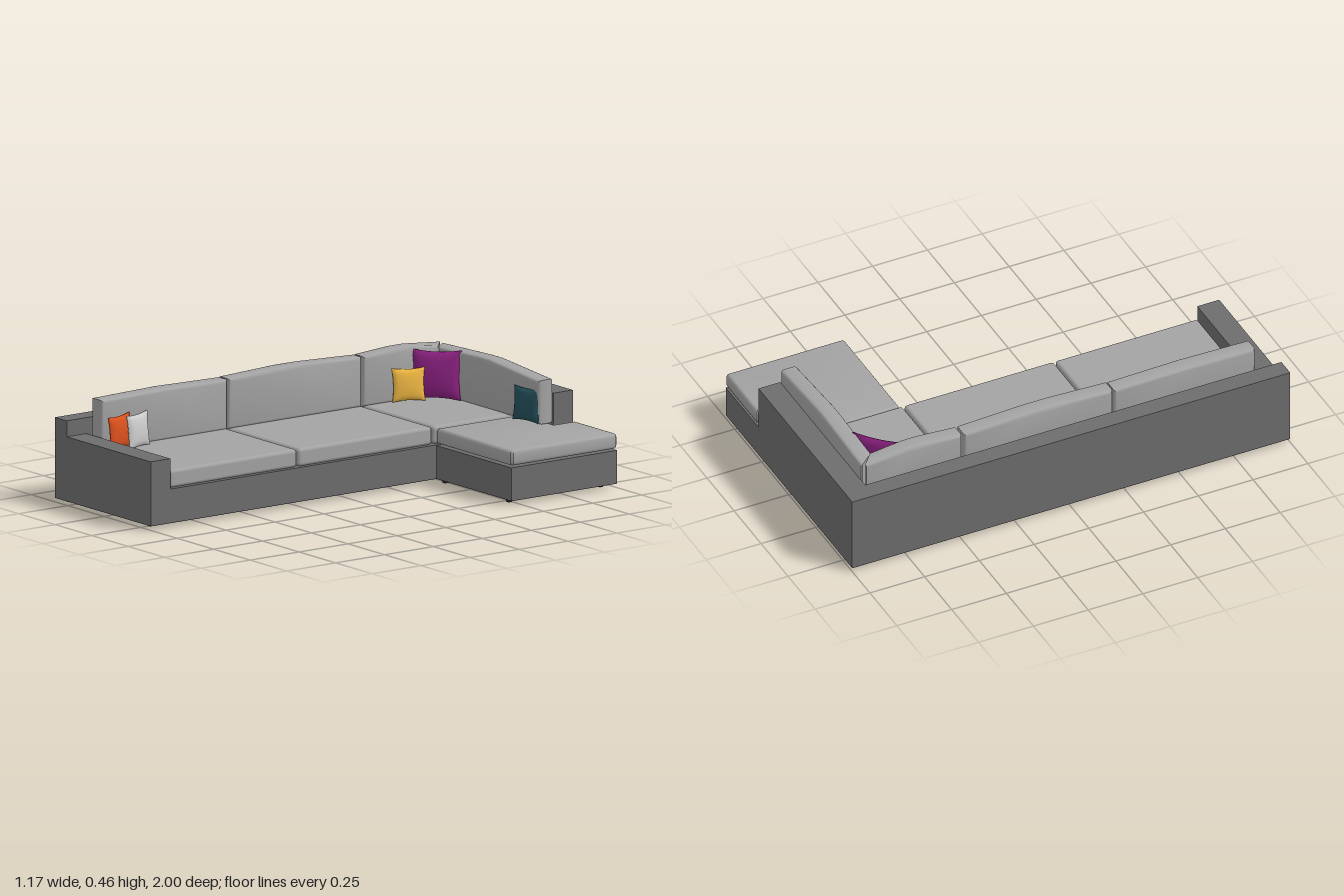
import * as THREE from 'three';
import { mergeVertices, toCreasedNormals } from 'three/addons/utils/BufferGeometryUtils.js';
import { RoundedBoxGeometry } from 'three/addons/geometries/RoundedBoxGeometry.js';

const mat = (color) => new THREE.MeshStandardMaterial({ color });

export function createModel() {
  const root = new THREE.Group();
  const fabric = mat(0xa3a3a3), frame = mat(0x6d6d6d), dark = mat(0x303030);

  const add = (name, geometry, material) => {
    const mesh = new THREE.Mesh(geometry, material);
    mesh.name = name;
    root.add(mesh);
    return mesh;
  };

  // Box given by its limits on each axis, rounded when r > 0
  const block = (name, material, [x0, x1], [y0, y1], [z0, z1], r = 0) => {
    const size = [x1 - x0, y1 - y0, z1 - z0];
    const geo = r ? new RoundedBoxGeometry(...size, 3, r) : new THREE.BoxGeometry(...size);
    add(name, geo, material).position.set((x0 + x1) / 2, (y0 + y1) / 2, (z0 + z1) / 2);
  };

  // Extruded outline with softened edges, centred on its depth
  const softExtrude = (points, depth, bevel) => {
    const shape = new THREE.Shape(points.map(([x, y]) => new THREE.Vector2(x, y)));
    const geo = new THREE.ExtrudeGeometry(shape, {
      depth: depth - 2 * bevel, bevelThickness: bevel, bevelSize: bevel,
      bevelOffset: -bevel, bevelSegments: 3,
    });
    return geo.translate(0, 0, bevel - depth / 2);
  };

  // Frame: bases, two back walls and the arm
  block('mainBase', frame, [-0.587, 0.07], [0.019, 0.16], [-1, 1]);
  block('chaiseBase', frame, [0.07, 0.583], [0.019, 0.157], [-1, -0.46]);
  block('sideBackWall', frame, [-0.587, -0.505], [0.16, 0.355], [-1, 1]);
  block('rearBackWall', frame, [-0.505, 0.28], [0.157, 0.355], [-1, -0.9]);
  block('arm', frame, [-0.505, 0.07], [0.16, 0.288], [0.9, 1]);

  // Dark cloth under both bases
  block('mainUnderside', dark, [-0.587, 0.07], [0.017, 0.019], [-1, 1]);
  block('chaiseUnderside', dark, [0.07, 0.583], [0.017, 0.019], [-1, -0.46]);

  // Seat cushions
  for (const z of [[0.243, 0.895], [-0.447, 0.237], [-0.9, -0.453]]) {
    block('seatCushion', fabric, [-0.505, 0.06], [0.16, 0.236], z, 0.015);
  }

  // Chaise cushion, notched around the end of the rear wall
  const chaise = softExtrude([
    [0.068, 0.465], [0.073, 0.46], [0.577, 0.46], [0.585, 0.468], [0.585, 0.992], [0.577, 1],
    [0.295, 1], [0.295, 0.893], [0.068, 0.893],
  ], 0.066, 0.015);
  chaise.rotateX(-Math.PI / 2);
  add('chaiseCushion', toCreasedNormals(chaise, 0.6), fabric).position.y = 0.196;

  // Back cushions: crowned outline, mitred at the start where they meet in the corner
  const T = 0.075;
  const backCushion = (start, end, tops, mitre = 0) => {
    const geo = softExtrude([[start, 0.232], [end, 0.232], ...tops], T, 0.014);
    const p = geo.attributes.position;
    for (let i = 0; i < p.count; i++) {
      if (p.getX(i) < start + 0.03) p.setX(i, p.getX(i) + Math.abs(mitre) * (0.5 + Math.sign(mitre) * p.getZ(i) / T));
    }
    return geo;
  };
  const sideCushions = [
    [0.248, 0.892, [[0.892, 0.442], [0.57, 0.449], [0.248, 0.442]], 0],
    [-0.437, 0.242, [[0.242, 0.444], [-0.03, 0.455], [-0.14, 0.455], [-0.437, 0.443]], 0],
    [-0.893, -0.447, [[-0.447, 0.443], [-0.62, 0.455], [-0.69, 0.455], [-0.893, 0.437]], -0.065],
  ];
  for (const args of sideCushions) {
    const geo = backCushion(...args).rotateY(-Math.PI / 2);
    add('sideBackCushion', toCreasedNormals(geo, 0.6), fabric).position.x = -0.447;
  }
  const rear = backCushion(-0.475, 0.278, [[0.278, 0.416], [-0.06, 0.444], [-0.13, 0.444], [-0.475, 0.432]], 0.065);
  add('rearBackCushion', toCreasedNormals(rear, 0.6), fabric).position.z = -0.864;

  // Throw pillows: a square puffed in the middle with pinched sides
  const pillow = (name, color, size, [x, y, z], yaw, lean) => {
    let geo = new THREE.BoxGeometry(2, 2, 2, 14, 14, 1);
    const p = geo.attributes.position;
    for (let i = 0; i < p.count; i++) {
      const u = p.getX(i), v = p.getY(i);
      const puff = Math.sqrt(Math.max(0, (1 - u * u) * (1 - v * v)));
      p.setXYZ(i, u * (1 - 0.09 * (1 - v * v)) * size / 2,
        v * (1 - 0.09 * (1 - u * u)) * size / 2,
        Math.sign(p.getZ(i)) * (0.002 + puff * size * 0.11));
    }
    geo.deleteAttribute('normal');
    geo.deleteAttribute('uv');
    geo = mergeVertices(geo);
    geo.computeVertexNormals();
    const mesh = add(name, geo, mat(color));
    mesh.position.set(x, y, z);
    mesh.rotation.set(lean, yaw, 0, 'YXZ');
  };
  pillow('purplePillow', 0x8a2080, 0.208, [-0.333, 0.34, -0.76], 0.75, -0.1);
  pillow('yellowPillow', 0xeeb642, 0.14, [-0.374, 0.306, -0.648], 1.18, -0.12);
  pillow('tealPillow', 0x25505c, 0.143, [0.206, 0.306, -0.818], 0.19, -0.08);
  pillow('whitePillow', 0xffffff, 0.143, [-0.365, 0.306, 0.74], 1.87, -0.1);
  pillow('orangePillow', 0xd9501c, 0.14, [-0.374, 0.31, 0.827], 1.84, -0.1);

  // Feet
  const foot = (x, z) => block('foot', dark, [x - 0.01, x + 0.01], [0, 0.017], [z - 0.008, z + 0.008]);
  for (const z of [0.95, 0.315, -0.41, -0.955]) for (const x of [-0.555, 0]) foot(x, z);
  for (const z of [-0.49, -0.955]) for (const x of [0.09, 0.525]) foot(x, z);

  return root;
}
